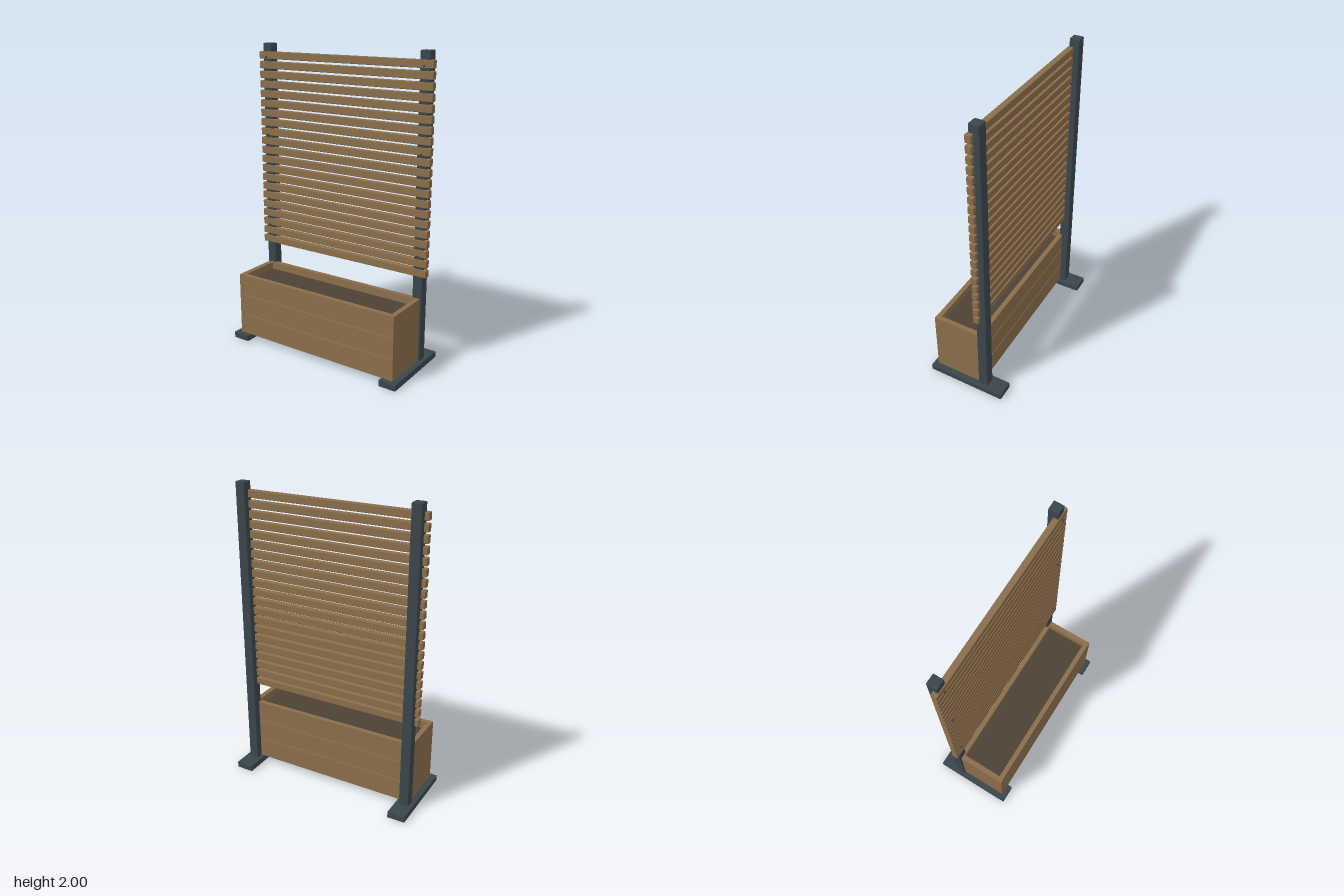
import * as THREE from 'three';
import { RoundedBoxGeometry } from 'three/addons/geometries/RoundedBoxGeometry.js';

const wood = new THREE.MeshStandardMaterial({ name: 'wood', color: 0x8b6e4b });
const metal = new THREE.MeshStandardMaterial({ name: 'dark metal', color: 0x3a464b });
const soil = new THREE.MeshStandardMaterial({ name: 'soil', color: 0x4e4035 });

// Box given by its min/max corners, with optional softened edges
function block(name, material, [x0, x1], [y0, y1], [z0, z1], edge = 0) {
  const w = x1 - x0, h = y1 - y0, d = z1 - z0;
  const geometry = edge
    ? new RoundedBoxGeometry(w, h, d, 1, edge)
    : new THREE.BoxGeometry(w, h, d);
  const mesh = new THREE.Mesh(geometry, material);
  mesh.name = name;
  mesh.position.set((x0 + x1) / 2, (y0 + y1) / 2, (z0 + z1) / 2);
  return mesh;
}

// Range mirrored to the chosen side
const side = (s, a, b) => (s > 0 ? [a, b] : [-b, -a]);

export function createModel() {
  const model = new THREE.Group();
  model.name = 'planterWithPrivacyScreen';

  // Feet and posts
  const frame = new THREE.Group();
  frame.name = 'frame';
  for (const s of [1, -1]) {
    const label = s > 0 ? 'left' : 'right';
    frame.add(block(label + 'Foot', metal, side(s, 0.525, 0.645), [0, 0.042], [-0.268, 0.268], 0.004));
    frame.add(block(label + 'Post', metal, side(s, 0.552, 0.618), [0.036, 2], [-0.154, -0.087], 0.005));
  }

  // Horizontal slats let into the posts
  const screen = new THREE.Group();
  screen.name = 'slatScreen';
  const slatPitch = 0.064, slatHeight = 0.048, slatStart = 0.618;
  for (let i = 0; i < 21; i++) {
    const y = slatStart + i * slatPitch;
    screen.add(block('slat', wood, [-0.645, 0.645], [y, y + slatHeight], [-0.118, -0.079], 0.004));
  }

  // Small screws through the bottom, middle and top slats
  const screwGeometry = new THREE.CylinderGeometry(0.006, 0.006, 0.012, 10).rotateX(Math.PI / 2);
  for (const s of [1, -1]) {
    for (const y of [0.752, 1.392, 1.91]) {
      const screw = new THREE.Mesh(screwGeometry, metal);
      screw.name = 'screw';
      screw.position.set(s * 0.585, y, -0.076);
      screen.add(screw);
    }
  }

  // Planter box: end panels, three boards front and back, floor and soil
  const planter = new THREE.Group();
  planter.name = 'planter';
  for (const s of [1, -1]) {
    planter.add(block('endPanel', wood, side(s, 0.58, 0.606), [0.042, 0.47], [-0.11, 0.237]));
  }
  const boardPitch = 0.1447, boardHeight = 0.1386;
  for (let i = 0; i < 3; i++) {
    const y = 0.042 + i * boardPitch;
    planter.add(block('frontBoard', wood, [-0.58, 0.58], [y, y + boardHeight], [0.203, 0.235]));
    planter.add(block('backBoard', wood, [-0.58, 0.58], [y, y + boardHeight], [-0.108, -0.076]));
  }
  // Thin inner lining at each end
  for (const s of [1, -1]) {
    planter.add(block('endLining', wood, side(s, 0.572, 0.58), [0.06, 0.468], [-0.076, 0.203]));
  }
  planter.add(block('floor', wood, [-0.58, 0.58], [0.043, 0.06], [-0.08, 0.206]));
  planter.add(block('soil', soil, [-0.572, 0.572], [0.06, 0.42], [-0.076, 0.203]));

  model.add(frame, screen, planter);
  return model;
}
